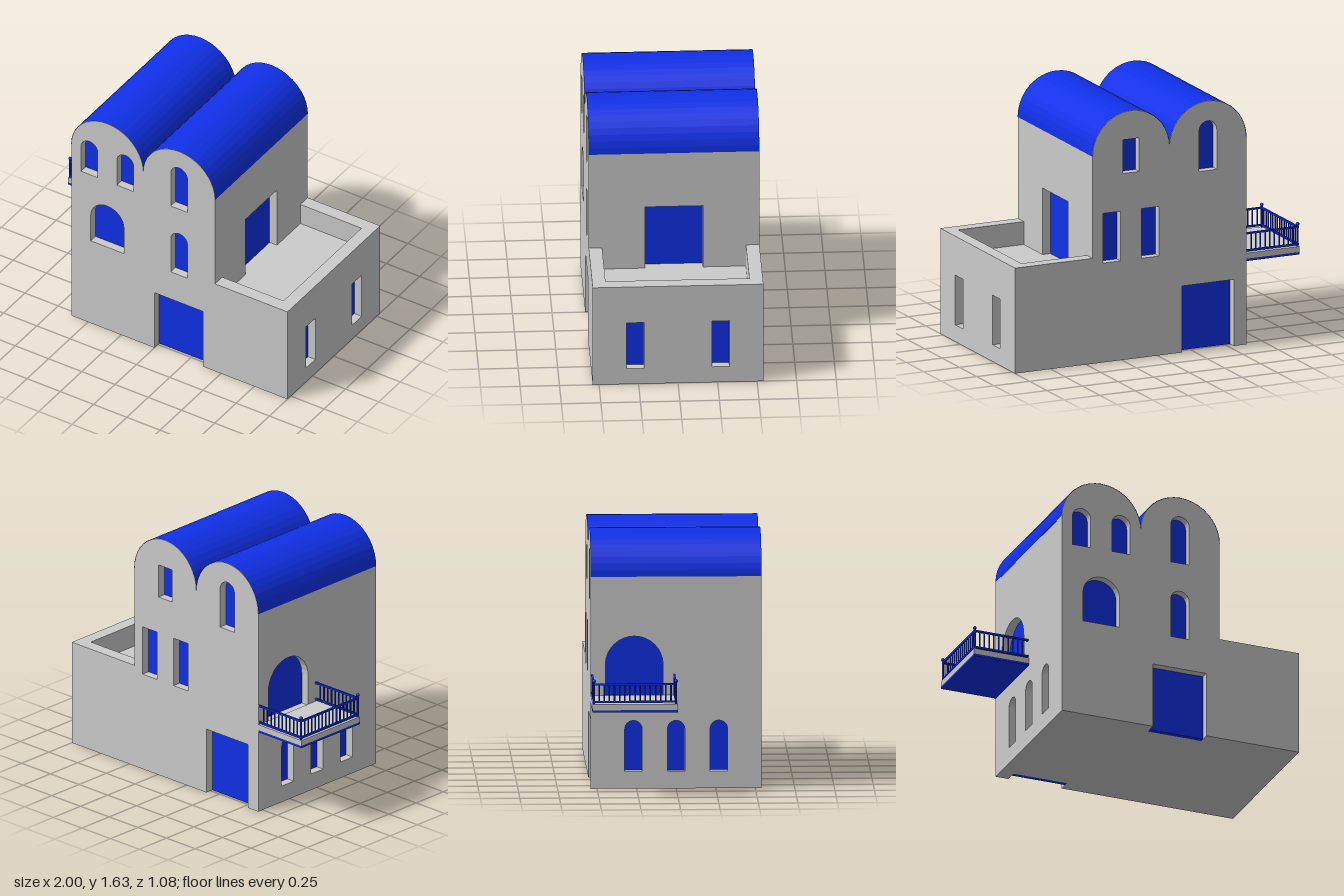
import * as THREE from 'three';

const grey = new THREE.MeshStandardMaterial({ color: 0xcccccc, flatShading: true });
const blue = new THREE.MeshStandardMaterial({ color: 0x1030e8, flatShading: true });
const roofBlue = blue.clone();
roofBlue.side = THREE.DoubleSide;

const T = 0.085;        // wall thickness
const RECESS = 0.055;   // how far doors and windows sit back
const R = 0.27;         // vault radius
const EAVE = 1.355;
const VAULTS = [-0.355, 0.185];
const SEG = 20;

function add(group, name, geometry, material, x = 0, y = 0, z = 0) {
  const mesh = new THREE.Mesh(geometry, material);
  mesh.name = name;
  mesh.position.set(x, y, z);
  group.add(mesh);
  return mesh;
}

// Box given by its limits
function block(group, name, material, x0, x1, y0, y1, z0, z1) {
  return add(group, name, new THREE.BoxGeometry(x1 - x0, y1 - y0, z1 - z0), material,
    (x0 + x1) / 2, (y0 + y1) / 2, (z0 + z1) / 2);
}

// Points of a rectangular or round-headed opening
function openingPoints({ x, w, y0, y1, arched }) {
  const r = w / 2;
  const pts = [new THREE.Vector2(x - r, y0), new THREE.Vector2(x + r, y0)];
  if (!arched) return [...pts, new THREE.Vector2(x + r, y1), new THREE.Vector2(x - r, y1)];
  for (let i = 0; i <= 16; i++) {
    const a = (Math.PI * i) / 16;
    pts.push(new THREE.Vector2(x + r * Math.cos(a), y1 - r + r * Math.sin(a)));
  }
  return pts;
}

// Wall facing local +z, its outer face on z = 0, with recessed blue panels
function wall(name, outline, openings) {
  const group = new THREE.Group();
  group.name = name;
  const shape = new THREE.Shape(outline);
  for (const o of openings) {
    const pts = openingPoints(o);
    if (o.y0 > 0) shape.holes.push(new THREE.Path(pts));
    const panel = new THREE.ExtrudeGeometry(new THREE.Shape(pts), { depth: T - RECESS, bevelEnabled: false });
    add(group, o.y0 > 0 && o.w < 0.3 ? 'windowPanel' : 'doorPanel', panel, blue, 0, 0, -T);
  }
  add(group, name + 'Masonry', new THREE.ExtrudeGeometry(shape, { depth: T, bevelEnabled: false }), grey, 0, 0, -T);
  return group;
}

// Gable outline with twin vaults, low wing and a notch for the ground door
function facadeOutline(door, mirror) {
  const l = door.x - door.w / 2, r = door.x + door.w / 2;
  const pts = [[-0.625, 0], [l, 0], [l, door.y1], [r, door.y1], [r, 0], [1, 0], [1, 0.69], [0.455, 0.69]];
  for (const cx of [...VAULTS].reverse()) {
    for (let i = cx === VAULTS[0] ? 1 : 0; i <= SEG; i++) {
      const a = (Math.PI * i) / SEG;
      pts.push([cx + R * Math.cos(a), EAVE + R * Math.sin(a)]);
    }
  }
  return pts.map(([x, y]) => new THREE.Vector2(x * mirror, y));
}

function rectOutline(half, height) {
  return [[-half, 0], [half, 0], [half, height], [-half, height]].map(([x, y]) => new THREE.Vector2(x, y));
}

const opening = (x, w, y0, y1, arched = false) => ({ x, w, y0, y1, arched });

function facade(name, openings, mirror) {
  const outline = facadeOutline(openings[0], mirror);
  const group = wall(name, outline, openings.map((o) => ({ ...o, x: o.x * mirror })));
  group.position.z = 0.54 * mirror;
  if (mirror < 0) group.rotation.y = Math.PI;
  return group;
}

function sideWall(name, x, facing, height, openings) {
  const group = wall(name, rectOutline(0.54 - T, height), openings);
  group.position.x = x;
  group.rotation.y = (facing * Math.PI) / 2;
  return group;
}

// Straight railing between two points on the balcony
function railing(ax, az, bx, bz, count) {
  const group = new THREE.Group();
  group.name = 'railing';
  const lx = Math.abs(bx - ax), lz = Math.abs(bz - az);
  for (const y of [0.612, 0.724]) {
    add(group, 'rail', new THREE.BoxGeometry(lx + 0.012, 0.012, lz + 0.012), blue, (ax + bx) / 2, y, (az + bz) / 2);
  }
  const bar = new THREE.CylinderGeometry(0.005, 0.005, 0.112, 8);
  for (let i = 1; i < count; i++) {
    const t = i / count;
    add(group, 'baluster', bar, blue, ax + (bx - ax) * t, 0.668, az + (bz - az) * t);
  }
  return group;
}

function balcony() {
  const group = new THREE.Group();
  group.name = 'balcony';
  block(group, 'balconyFloor', grey, -1, -0.625, 0.56, 0.597, -0.54, 0);
  block(group, 'balconyUnderside', blue, -1, -0.625, 0.545, 0.56, -0.54, 0);
  const x = -0.99, back = -0.531, front = -0.012;
  group.add(railing(x, back, -0.631, back, 11));
  group.add(railing(x, front, -0.631, front, 11));
  group.add(railing(x, back, x, front, 16));
  for (const z of [back, front]) {
    add(group, 'cornerPost', new THREE.CylinderGeometry(0.007, 0.007, 0.145, 10), blue, x, 0.667, z);
    add(group, 'postBall', new THREE.SphereGeometry(0.012, 12, 8), blue, x, 0.744, z);
  }
  return group;
}

export function createModel() {
  const house = new THREE.Group();
  house.name = 'house';

  // Front and back walls, ground door first
  house.add(facade('frontWall', [
    opening(0.1825, 0.365, 0, 0.435),
    opening(-0.355, 0.25, 0.65, 0.975, true),
    opening(0.185, 0.125, 0.65, 0.975, true),
    opening(-0.49, 0.125, 1.17, 1.43, true),
    opening(-0.22, 0.125, 1.17, 1.43, true),
    opening(0.185, 0.125, 1.17, 1.495, true),
  ], 1));
  house.add(facade('backWall', [
    opening(-0.355, 0.365, 0, 0.435),
    opening(0.32, 0.125, 0.65, 0.975),
    opening(0.05, 0.125, 0.65, 0.975),
    opening(0.185, 0.115, 1.22, 1.44),
    opening(-0.355, 0.125, 1.17, 1.495, true),
  ], -1));

  // Side walls
  house.add(sideWall('balconySideWall', -0.625, -1, EAVE, [
    opening(-0.265, 0.365, 0.59, 0.975, true),
    ...[-0.27, 0, 0.27].map((z) => opening(z, 0.11, 0.11, 0.435, true)),
  ]));
  house.add(sideWall('terraceSideWall', 0.455, 1, EAVE, [opening(0, 0.365, 0.54, 0.975)]));
  house.add(sideWall('wingWall', 1, 1, 0.69, [-0.27, 0.27].map((z) => opening(z, 0.11, 0.11, 0.435))));

  // Floors
  block(house, 'terraceFloor', grey, 0.455, 0.915, 0.5, 0.54, -0.455, 0.455);
  block(house, 'baseSlab', grey, -0.54, 0.915, 0, 0.02, -0.455, 0.455);

  // Twin barrel roofs
  for (const cx of VAULTS) {
    const vault = new THREE.CylinderGeometry(R + 0.002, R + 0.002, 1.08, SEG, 1, true, Math.PI / 2, Math.PI);
    vault.rotateX(Math.PI / 2);
    add(house, 'barrelRoof', vault, roofBlue, cx, EAVE, 0);
  }

  house.add(balcony());
  return house;
}
